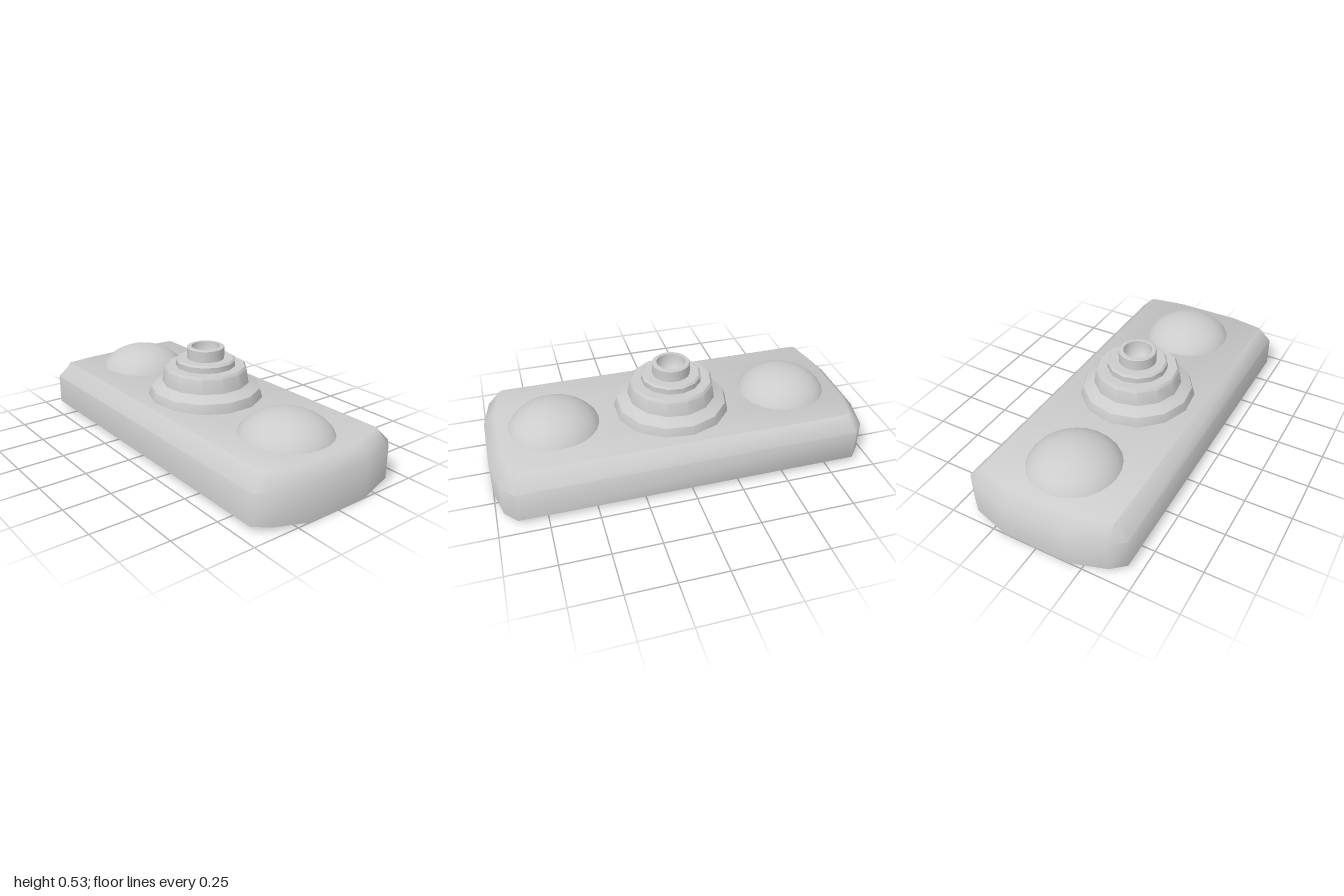
import * as THREE from 'three';
import { toCreasedNormals } from 'three/addons/utils/BufferGeometryUtils.js';

const material = new THREE.MeshStandardMaterial({ color: 0xcccccc, side: THREE.DoubleSide });

function part(name, geometry, crease) {
  const mesh = new THREE.Mesh(toCreasedNormals(geometry, crease), material);
  mesh.name = name;
  return mesh;
}

function lathe(points, segments) {
  return new THREE.LatheGeometry(points.map(([r, y]) => new THREE.Vector2(r, y)), segments);
}

// Spread one quarter of an outline (three corners) round all four quadrants
function ring(quarter) {
  const back = quarter.map(([x, y, z]) => [x, y, -z]).reverse();
  const half = [...quarter, ...back];
  return [...half, ...half.map(([x, y, z]) => [-x, y, z]).reverse()];
}

// Open-bottomed shell: lower edge, shoulder, and bevelled top rim
function shellGeometry() {
  const rings = [
    ring([[0.18, 0, 1], [0.37, 0.027, 0.96], [0.44, 0.027, 0.9]]),
    ring([[0.18, 0.19, 1], [0.37, 0.19, 0.96], [0.44, 0.19, 0.9]]),
    ring([[0.18, 0.255, 0.935], [0.365, 0.265, 0.89], [0.372, 0.265, 0.87]]),
  ];
  const n = rings[0].length;
  const index = [];
  const quad = (a, b, c, d) => index.push(a, b, c, a, c, d);
  for (let r = 0; r < 2; r++) {
    for (let i = 0; i < n; i++) {
      const j = (i + 1) % n;
      quad(r * n + i, r * n + j, (r + 1) * n + j, (r + 1) * n + i);
    }
  }
  // Slightly dished top, in strips running front to back
  const t = 2 * n;
  for (const [a, b, c, d] of [[0, 1, 4, 5], [1, 2, 3, 4], [11, 0, 5, 6], [6, 7, 10, 11], [7, 8, 9, 10]]) {
    quad(t + a, t + b, t + c, t + d);
  }
  const geometry = new THREE.BufferGeometry();
  geometry.setAttribute('position', new THREE.Float32BufferAttribute(rings.flat(2), 3));
  geometry.setIndex(index);
  return geometry;
}

export function createModel() {
  const group = new THREE.Group();
  group.name = 'domedPlate';
  group.add(part('shell', shellGeometry(), 1.0));

  // Flattened domes whose open skirts reach below the top of the shell
  for (const [name, z] of [['frontDome', 0.64], ['backDome', -0.64]]) {
    const geometry = new THREE.SphereGeometry(0.258, 24, 10, 0, Math.PI * 2, 0, Math.PI / 2);
    geometry.scale(1, 0.185 / 0.258, 1);
    const dome = part(name, geometry, 0.7);
    dome.position.set(0, 0.185, z);
    group.add(dome);
  }

  // Stepped collar with thirteen sides
  const collar = part('collar', lathe([
    [0.31, 0.235], [0.31, 0.262], [0.295, 0.305], [0.235, 0.335],
    [0.223, 0.41], [0.212, 0.423], [0.16, 0.423],
    [0.16, 0.453], [0.15, 0.463], [0.09, 0.463],
  ], 13), 0.6);
  collar.rotation.y = Math.PI;
  group.add(collar);

  // Short pipe with a rounded bore
  group.add(part('pipe', lathe([
    [0.1, 0.455], [0.1, 0.522], [0.095, 0.527], [0.076, 0.527],
    [0.074, 0.485], [0.055, 0.455], [0.03, 0.443], [0, 0.44],
  ], 24), 0.7));

  return group;
}
